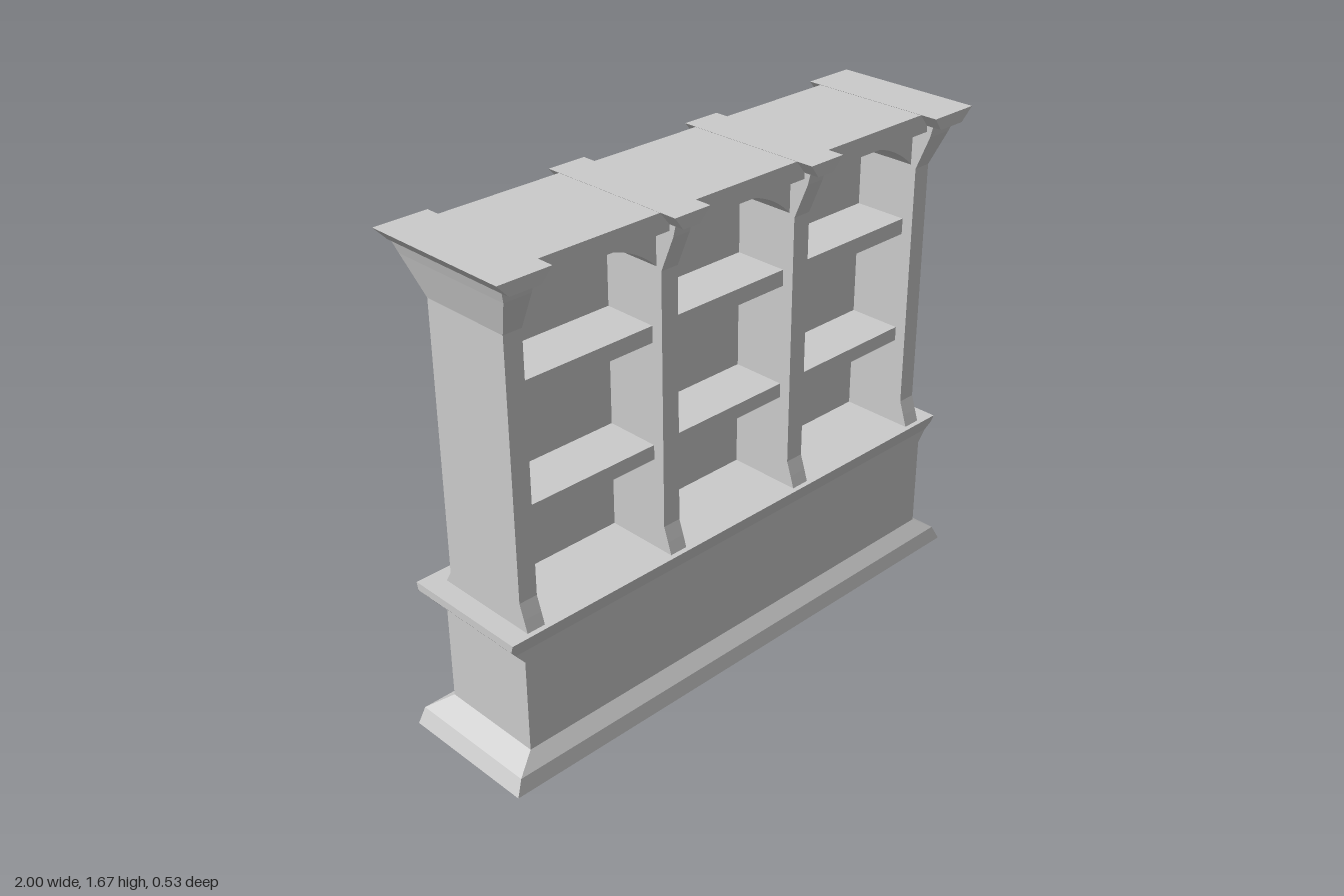
import * as THREE from 'three';

const material = new THREE.MeshStandardMaterial({ color: 0xcccccc, flatShading: true });

// Closed solid through stacked rectangles, each [y, xMin, xMax, zBack, zFront]
function stack(name, sections) {
  const pos = [];
  const rings = sections.map(([y, x0, x1, z0, z1]) =>
    [[x0, y, z1], [x1, y, z1], [x1, y, z0], [x0, y, z0]]);
  const quad = (a, b, c, d) => pos.push(...a, ...b, ...c, ...a, ...c, ...d);
  for (let i = 0; i < rings.length - 1; i++) {
    const lo = rings[i], hi = rings[i + 1];
    for (let k = 0; k < 4; k++) {
      const n = (k + 1) % 4;
      quad(lo[k], lo[n], hi[n], hi[k]);
    }
  }
  const [a, b, c, d] = rings[0];
  quad(d, c, b, a);
  quad(...rings[rings.length - 1]);
  const geo = new THREE.BufferGeometry();
  geo.setAttribute('position', new THREE.Float32BufferAttribute(pos, 3));
  geo.computeVertexNormals();
  const mesh = new THREE.Mesh(geo, material);
  mesh.name = name;
  return mesh;
}

const block = (name, x0, x1, y0, y1, z0, z1) =>
  stack(name, [[y0, x0, x1, z0, z1], [y1, x0, x1, z0, z1]]);

// Upright with splayed foot and flared capital; outL/outR flare the end sides
function makePost(x0, x1, outL, outR) {
  const post = new THREE.Group();
  post.name = 'post';
  post.add(stack('upright', [
    [0.52, x0, x1, -0.18, 0.20],
    [0.56, x0, x1, -0.157, 0.187],
    [0.61, x0, x1, -0.157, 0.17],
    [1.47, x0, x1, -0.157, 0.17],
    [1.59, x0 - outL * 0.03, x1 + outR * 0.03, -0.23, 0.22],
    [1.63, x0 - outL * 0.042, x1 + outR * 0.042, -0.248, 0.23],
  ]));
  post.add(stack('capital', [
    [1.625, x0 - outL * 0.042, x1 + outR * 0.042, -0.262, 0.26],
    [1.67, x0 - 0.036 - outL * 0.048, x1 + 0.036 + outR * 0.048, -0.265, 0.265],
  ]));
  return post;
}

// Solid head of a bay, with a shallow arch cut from below
function makeArch(x0, x1) {
  const half = (x1 - x0) / 2, cx = (x0 + x1) / 2, spring = 1.48, rise = 0.105;
  const r = (half * half + rise * rise) / (2 * rise);
  const angle = Math.asin(half / r);
  const shape = new THREE.Shape();
  shape.moveTo(x0, 1.63);
  shape.lineTo(x0, spring);
  shape.absarc(cx, spring + rise - r, r, Math.PI / 2 + angle, Math.PI / 2 - angle, true);
  shape.lineTo(x1, 1.63);
  shape.closePath();
  const geo = new THREE.ExtrudeGeometry(shape, { depth: 0.22, bevelEnabled: false, curveSegments: 16 });
  geo.translate(0, 0, -0.07);
  const mesh = new THREE.Mesh(geo, material);
  mesh.name = 'arch';
  return mesh;
}

export function createModel() {
  const model = new THREE.Group();
  model.name = 'bookcase';

  // Base cabinet: plinth, body and ledge moulding
  model.add(stack('base', [
    [0, -1, 1, -0.24, 0.25],
    [0.052, -0.975, 0.975, -0.235, 0.237],
    [0.1, -0.905, 0.905, -0.17, 0.2],
    [0.425, -0.905, 0.905, -0.17, 0.2],
    [0.465, -0.938, 0.938, -0.2, 0.2],
    [0.493, -0.96, 0.96, -0.232, 0.209],
    [0.52, -0.96, 0.96, -0.238, 0.218],
  ]));

  // Four uprights
  const posts = [[-0.89, -0.825], [-0.315, -0.25], [0.243, 0.31], [0.825, 0.89]];
  posts.forEach(([x0, x1], i) => model.add(makePost(x0, x1, i === 0 ? 1 : 0, i === 3 ? 1 : 0)));

  // Three bays: back, shelves, arched head and cornice
  for (let i = 0; i < 3; i++) {
    const x0 = posts[i][1], x1 = posts[i + 1][0];
    const bay = new THREE.Group();
    bay.name = 'bay';
    bay.add(block('backPanel', x0, x1, 0.52, 1.62, -0.105, -0.06));
    bay.add(block('lowerShelf', x0, x1, 0.835, 0.885, -0.06, 0.13));
    bay.add(block('upperShelf', x0, x1, 1.23, 1.285, -0.06, 0.13));
    bay.add(makeArch(x0, x1));
    bay.add(block('cornice', x0, x1, 1.605, 1.669, -0.22, 0.205));
    model.add(bay);
  }
  return model;
}
